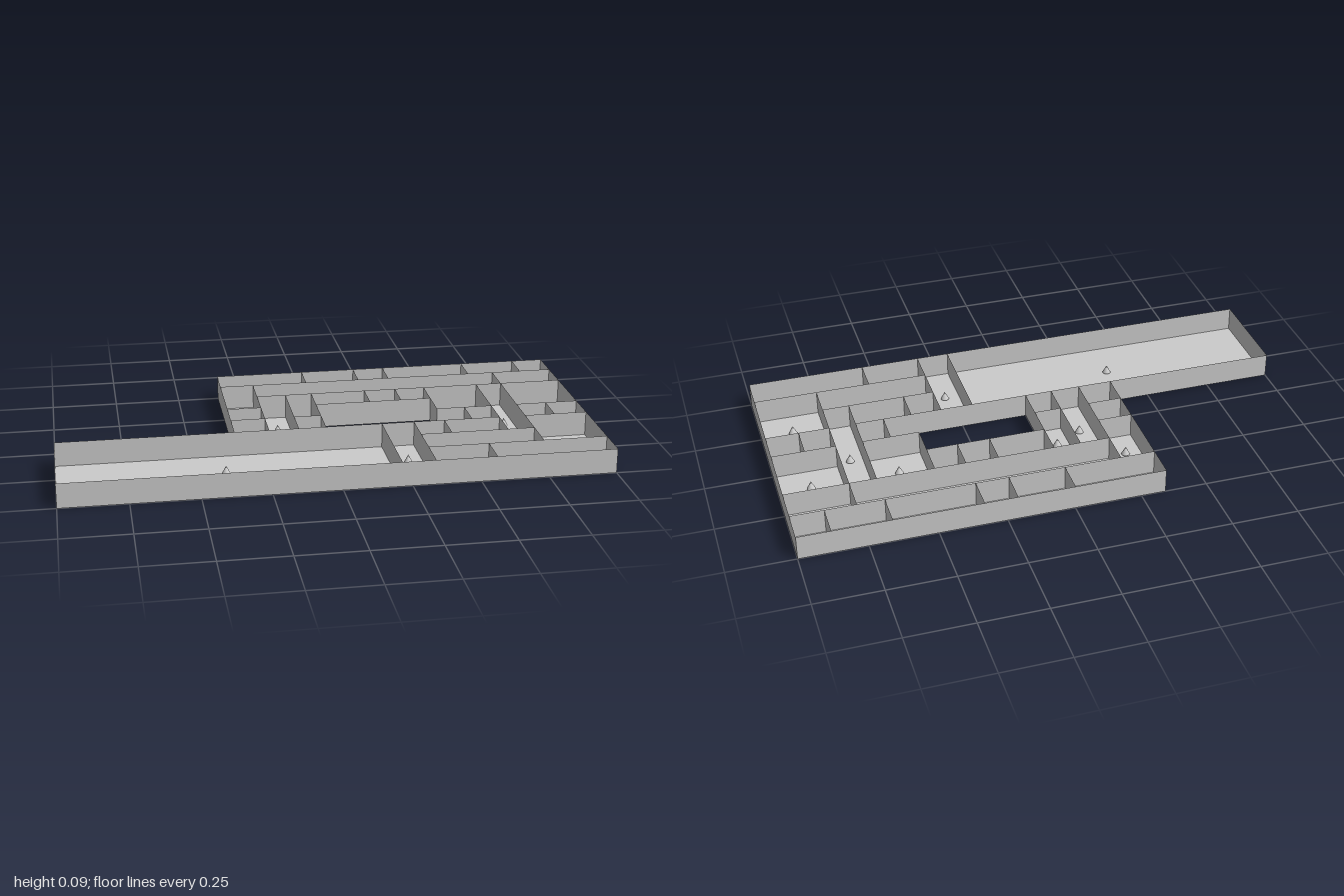
import * as THREE from 'three';

const WALL_HEIGHT = 0.093;

// Grid lines of the floor plan
const X = [-1, -0.342, -0.213, -0.102, 0, 0.211, 0.333, 0.449, 0.556, 0.662, 0.762, 0.877, 1];
const Z = [-0.5, -0.376, -0.245, -0.122, -0.004, 0.119, 0.246, 0.373, 0.5];

// One letter per room, back row first; a dot is open air
const PLAN = [
  '.aaabcdddeef',
  '.ghhhhhhhhii',
  '.gjklmnoopqq',
  '.rjk...oopqq',
  '.sjt....upvw',
  'xxxxxyzAApBB',
  'xxxxxyCCCCBB',
  'xxxxxyDDEEEE',
];
const roomAt = (col, row) => PLAN[row]?.[col] ?? '.';

export function createModel() {
  const model = new THREE.Group();
  model.name = 'floorPlan';
  const material = new THREE.MeshStandardMaterial({ color: 0xcccccc, side: THREE.DoubleSide });

  const addGroup = (name) => {
    const group = new THREE.Group();
    group.name = name;
    model.add(group);
    return group;
  };
  const floors = addGroup('floors');
  const walls = addGroup('walls');
  const markers = addGroup('roomMarkers');

  const addMesh = (group, name, geometry, x, y, z) => {
    const mesh = new THREE.Mesh(geometry, material);
    mesh.name = name;
    mesh.position.set(x, y, z);
    group.add(mesh);
  };

  // Rectangular extent of every room
  const rooms = new Map();
  PLAN.forEach((line, row) => [...line].forEach((id, col) => {
    if (id === '.') return;
    const r = rooms.get(id) ?? { x0: X[col], z0: Z[row] };
    r.x1 = X[col + 1];
    r.z1 = Z[row + 1];
    rooms.set(id, r);
  }));

  // Floor and a small cone in the middle of each room
  const cone = new THREE.ConeGeometry(0.016, 0.03, 16);
  for (const { x0, x1, z0, z1 } of rooms.values()) {
    const cx = (x0 + x1) / 2, cz = (z0 + z1) / 2;
    const floor = new THREE.PlaneGeometry(x1 - x0, z1 - z0).rotateX(-Math.PI / 2);
    addMesh(floors, 'floor', floor, cx, 0, cz);
    addMesh(markers, 'roomMarker', cone, cx, 0.026, cz);
  }

  // Thin walls wherever two neighbouring cells differ, joined into straight runs
  const addRuns = (lines, count, differs, place) => {
    for (let line = 0; line < lines; line++) {
      let start = -1;
      for (let i = 0; i <= count; i++) {
        const solid = i < count && differs(line, i);
        if (solid && start < 0) start = i;
        if (!solid && start >= 0) {
          place(line, start, i);
          start = -1;
        }
      }
    }
  };

  // Walls running left to right
  addRuns(Z.length, X.length - 1,
    (row, col) => roomAt(col, row) !== roomAt(col, row - 1),
    (row, a, b) => addMesh(walls, 'crossWall',
      new THREE.PlaneGeometry(X[b] - X[a], WALL_HEIGHT),
      (X[a] + X[b]) / 2, WALL_HEIGHT / 2, Z[row]));

  // Walls running front to back
  addRuns(X.length, Z.length - 1,
    (col, row) => roomAt(col, row) !== roomAt(col - 1, row),
    (col, a, b) => addMesh(walls, 'sideWall',
      new THREE.PlaneGeometry(Z[b] - Z[a], WALL_HEIGHT).rotateY(Math.PI / 2),
      X[col], WALL_HEIGHT / 2, (Z[a] + Z[b]) / 2));

  return model;
}
